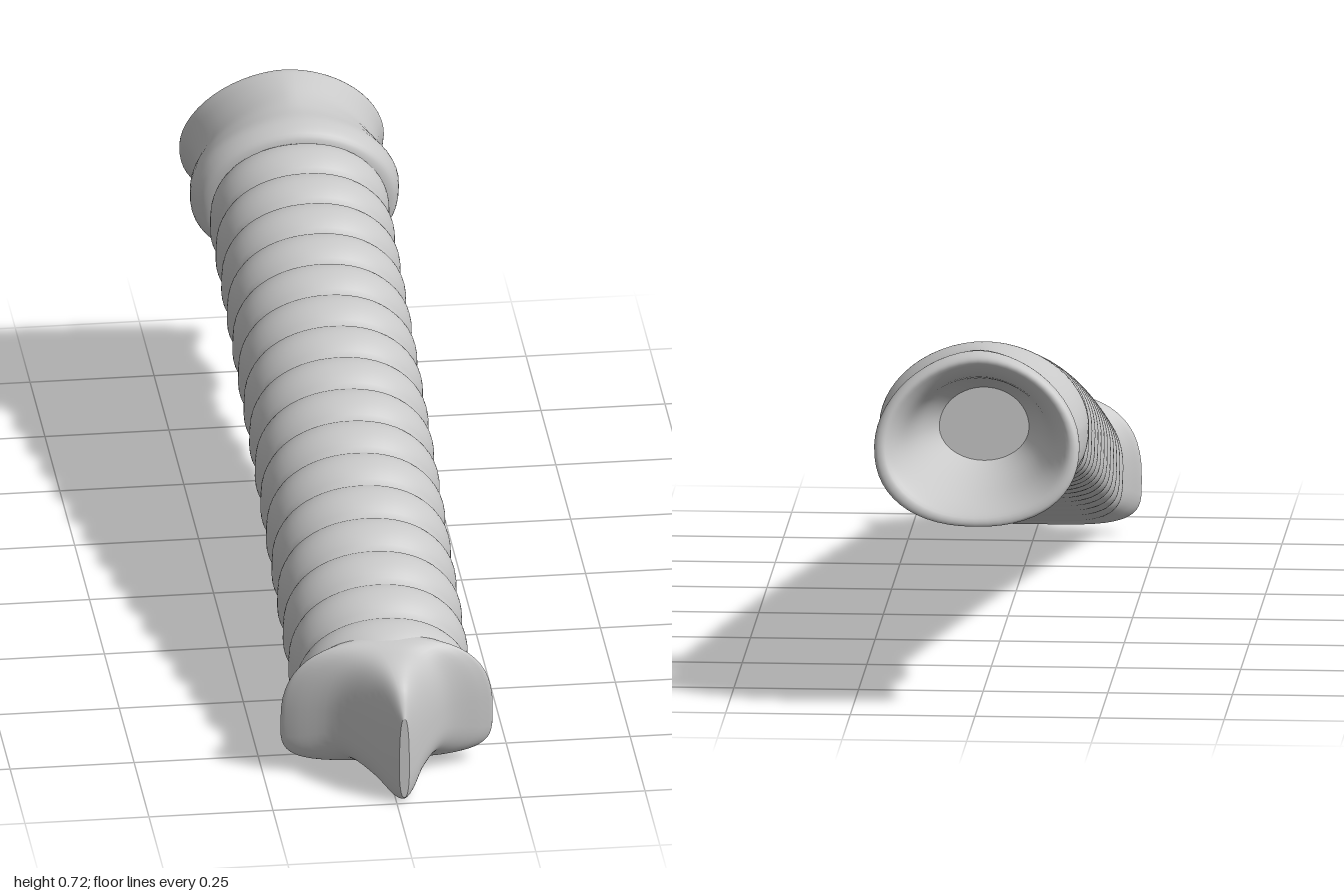
import * as THREE from 'three';

const AROUND = 56;

// One D-shaped cross-section: arched over the top, flattened underneath.
// s = [z, halfWidth, top, bottom, waist (0..1), topPower, bottomPower, lean, centreX]
function section(s) {
  const [z, hw, top, bot, k, n, nb, lean, cx] = s;
  const mid = bot + k * (top - bot), centre = (top + bot) / 2;
  const points = [];
  for (let j = 0; j < AROUND; j++) {
    const a = (j / AROUND) * Math.PI * 2;
    const c = Math.cos(a), sn = Math.sin(a);
    const p = 2 / (sn >= 0 ? n : nb);
    const x = cx + hw * Math.sign(c) * Math.abs(c) ** p;
    const y = sn >= 0 ? mid + (top - mid) * sn ** p : mid - (mid - bot) * (-sn) ** p;
    points.push([x, y, z + lean * (y - centre)]);
  }
  return points;
}

// Skin a list of cross-sections and close both ends
function loft(sections, name, material) {
  const rings = sections.map(section);
  const pos = rings.flat(2), index = [];
  const cap = (ring, start, flip) => {
    const base = pos.length / 3;
    const mean = [0, 1, 2].map((d) => ring.reduce((t, p) => t + p[d], 0) / AROUND);
    pos.push(...ring.flat(), ...mean);
    for (let j = 0; j < AROUND; j++) {
      const a = base + j, b = base + ((j + 1) % AROUND), m = base + AROUND;
      index.push(m, flip ? b : a, flip ? a : b);
    }
  };
  for (let i = 0; i < rings.length - 1; i++) {
    for (let j = 0; j < AROUND; j++) {
      const a = i * AROUND + j, b = i * AROUND + ((j + 1) % AROUND);
      index.push(a, a + AROUND, b, b, a + AROUND, b + AROUND);
    }
  }
  cap(rings[0], 0, false);
  cap(rings[rings.length - 1], 0, true);
  const geo = new THREE.BufferGeometry();
  geo.setAttribute('position', new THREE.Float32BufferAttribute(pos, 3));
  geo.setIndex(index);
  geo.computeVertexNormals();
  const mesh = new THREE.Mesh(geo, material);
  mesh.name = name;
  return mesh;
}

// Smoothly fill in between a few key cross-sections
function refine(keys, steps) {
  const out = [];
  const at = (i) => keys[Math.max(0, Math.min(keys.length - 1, i))];
  for (let i = 0; i < keys.length - 1; i++) {
    for (let s = 0; s < steps; s++) {
      const t = s / steps;
      out.push(at(i).map((v, d) => {
        const p0 = at(i - 1)[d], p2 = at(i + 1)[d], p3 = at(i + 2)[d];
        const m0 = (p2 - p0) / 2, m1 = (p3 - v) / 2;
        return v + m0 * t + (3 * (p2 - v) - 2 * m0 - m1) * t * t + (2 * (v - p2) + m0 + m1) * t ** 3;
      }));
    }
  }
  out.push(keys[keys.length - 1]);
  return out;
}

export function createModel() {
  const group = new THREE.Group();
  group.name = 'ribbedTube';
  const grey = new THREE.MeshStandardMaterial({ color: 0xc8c8c8 });
  grey.name = 'paleGrey';

  // Ribbed tube: gently curved, with rounded rings and a flat underside
  const RINGS = 16, STEPS = 10, body = [];
  const zStart = 0.83, zEnd = -0.675;
  for (let i = 0; i <= RINGS * STEPS; i++) {
    const z = zStart + (zEnd - zStart) * (i / (RINGS * STEPS));
    const centre = 0.4 - 0.262 * z - 0.035 * z * z;
    const bulge = Math.abs(Math.sin((i / STEPS) * Math.PI)) ** 0.75;
    body.push([z, 0.164 + 0.016 * bulge, centre + 0.115 + 0.016 * bulge, centre - 0.127,
      0.4, 2.1, 4.5, 0.24, 0]);
  }
  group.add(loft(body, 'ribbedTube', grey));

  // Forked front end: flared rim tapering into a vertical ridge
  const fork = [
    [0.785, 0.155, 0.29, 0.045, 0.4, 2.2, 4, 0.15, 0],
    [0.81, 0.19, 0.292, 0.036, 0.36, 2.4, 4, 0.12, 0],
    [0.828, 0.214, 0.29, 0.022, 0.34, 2.6, 4, 0.08, 0],
    [0.842, 0.19, 0.288, 0.024, 0.34, 2.6, 4, 0.05, 0],
    [0.87, 0.118, 0.282, 0.035, 0.35, 2.5, 3, 0.02, 0.003],
    [0.92, 0.068, 0.27, 0.018, 0.35, 2.5, 2.5, 0, 0.008],
    [0.97, 0.034, 0.24, 0.002, 0.35, 2.5, 2.3, 0, 0.013],
    [1.0, 0.01, 0.19, 0.015, 0.35, 2.5, 2.3, 0, 0.015],
  ].reverse();
  group.add(loft(refine(fork, 5), 'forkedEnd', grey));

  // Collar: waisted outer wall, rounded rim and a hollow funnel inside
  const collar = [
    [-0.664, 0.15, 0.63, 0.44, 0.42, 2, 3, 0.14, 0],
    [-0.666, 0.18, 0.667, 0.422, 0.42, 2, 3, 0.14, 0],
    [-0.68, 0.2, 0.692, 0.413, 0.44, 1.95, 2.8, 0.14, 0],
    [-0.72, 0.21, 0.706, 0.407, 0.45, 1.9, 2.7, 0.16, 0],
    [-0.78, 0.202, 0.706, 0.402, 0.45, 1.75, 2.6, 0.19, 0],
    [-0.84, 0.184, 0.712, 0.401, 0.45, 1.7, 2.5, 0.23, 0],
    [-0.9, 0.192, 0.721, 0.396, 0.46, 1.8, 2.4, 0.27, 0],
    [-0.935, 0.206, 0.724, 0.388, 0.46, 1.85, 2.3, 0.3, 0],
    [-0.95, 0.198, 0.714, 0.392, 0.46, 1.85, 2.2, 0.3, 0],
    [-0.944, 0.178, 0.698, 0.41, 0.46, 1.9, 2.1, 0.3, 0],
    [-0.9, 0.152, 0.67, 0.432, 0.46, 1.9, 2, 0.26, 0],
    [-0.8, 0.122, 0.645, 0.452, 0.46, 2, 2, 0.2, 0],
    [-0.72, 0.09, 0.615, 0.47, 0.46, 2, 2, 0.16, 0],
  ];
  group.add(loft(refine(collar, 4), 'collar', grey));

  return group;
}
